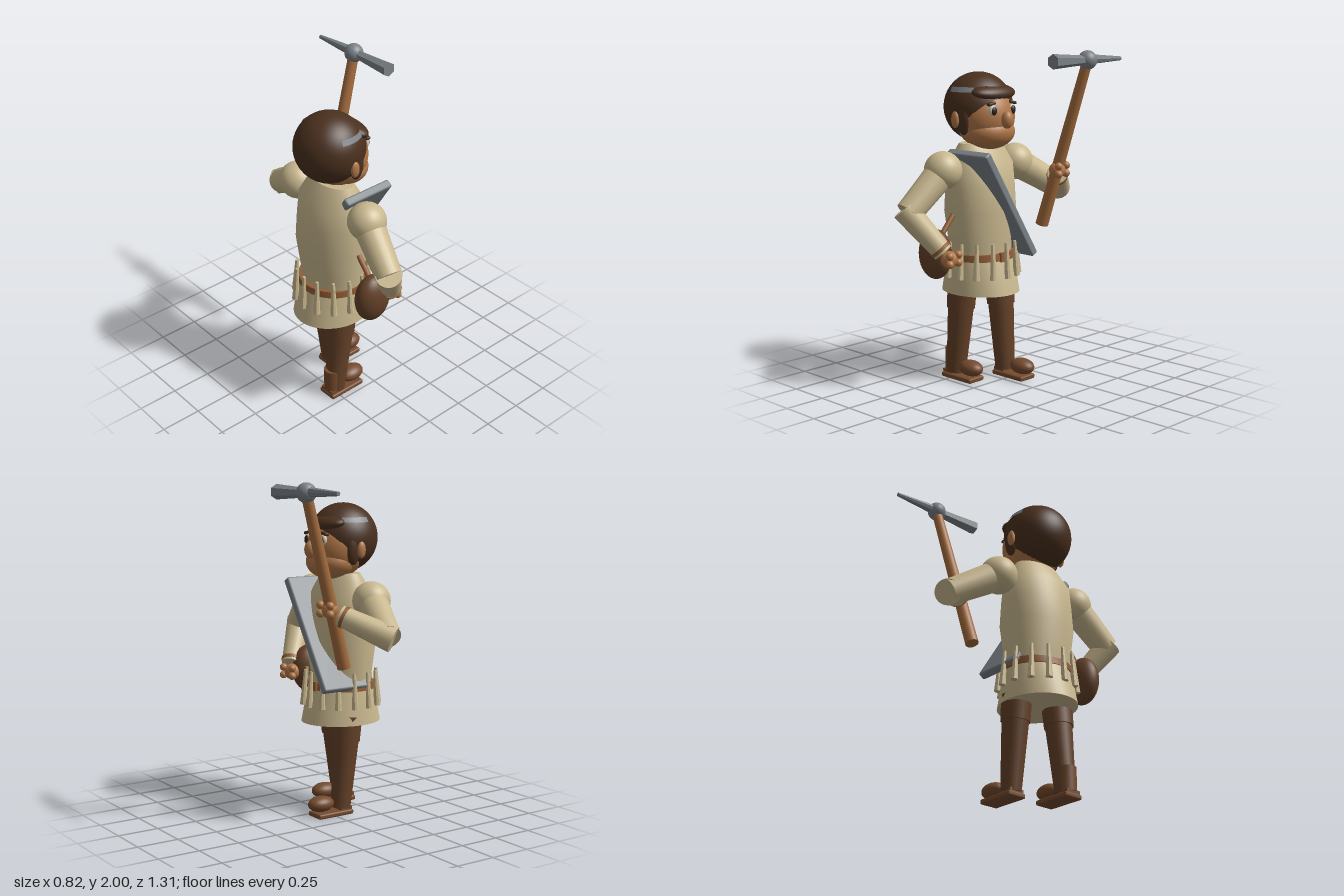
import * as THREE from 'three';
import { toCreasedNormals } from 'three/addons/utils/BufferGeometryUtils.js';
import { RoundedBoxGeometry } from 'three/addons/geometries/RoundedBoxGeometry.js';

const material = (name, color, extra = {}) => {
  const m = new THREE.MeshStandardMaterial({ color, ...extra });
  m.name = name;
  return m;
};
const V = (x, y, z) => new THREE.Vector3(x, y, z);

export function createModel() {
  const model = new THREE.Group();
  model.name = 'minerFigure';
  const cloth = material('tanCloth', 0xc9b88f);
  const hair = material('darkBrownHair', 0x4a301e, { side: THREE.DoubleSide });
  const skin = material('skin', 0xb07748);
  const trouser = material('brownTrousers', 0x644128);
  const leather = material('bootLeather', 0x744a2d);
  const strap = material('strapBrown', 0x925d36);
  const wood = material('handleWood', 0xa46c3e);
  const steel = material('steel', 0x7c8287, { side: THREE.DoubleSide });
  const black = material('pupilBlack', 0x2a2320);
  const white = material('eyeWhite', 0xc9c4b4);

  const add = (name, geometry, mat, x = 0, y = 0, z = 0) => {
    const mesh = new THREE.Mesh(geometry, mat);
    mesh.name = name;
    mesh.position.set(x, y, z);
    model.add(mesh);
    return mesh;
  };
  const ball = (name, mat, x, y, z, rx, ry = rx, rz = rx) => {
    const mesh = add(name, new THREE.SphereGeometry(1, 32, 20), mat, x, y, z);
    mesh.scale.set(rx, ry, rz);
    return mesh;
  };
  // tapered cylinder from a to b
  const limb = (name, mat, a, b, ra, rb, sides = 24) => {
    const d = b.clone().sub(a);
    const g = new THREE.CylinderGeometry(rb, ra, d.length(), sides);
    const mesh = add(name, sides < 10 ? toCreasedNormals(g, 0.4) : g, mat);
    mesh.position.copy(a).lerp(b, 0.5);
    mesh.quaternion.setFromUnitVectors(V(0, 1, 0), d.normalize());
    return mesh;
  };
  // closed oval loft through rows of [y, rx, rz]
  const loft = (name, mat, rows, x, z) => {
    const all = [[rows[0][0], 0, 0], ...rows, [rows.at(-1)[0], 0, 0]];
    const g = new THREE.LatheGeometry(all.map(([y, , rz]) => new THREE.Vector2(rz, y)), 40);
    const p = g.attributes.position;
    for (let i = 0; i < p.count; i++) {
      const [, rx, rz] = all[i % all.length];
      if (rz) p.setX(i, p.getX(i) * rx / rz);
    }
    g.computeVertexNormals();
    return add(name, toCreasedNormals(g, 0.7), mat, x, 0, z);
  };

  const cx = -0.153, cz = 0.035; // body axis

  // tunic
  loft('torso', cloth, [[0.75, 0.17, 0.2], [0.85, 0.175, 0.208], [1.05, 0.2, 0.235],
    [1.2, 0.184, 0.232], [1.33, 0.165, 0.225], [1.455, 0.09, 0.155]], cx, cz);
  loft('skirt', cloth, [[0.55, 0.25, 0.222], [0.655, 0.226, 0.212], [0.76, 0.195, 0.2]], cx, cz);
  loft('belt', strap, [[0.755, 0.203, 0.212], [0.797, 0.199, 0.212]], cx, cz);
  add('buckle', new THREE.BoxGeometry(0.02, 0.055, 0.07), strap, cx + 0.202, 0.778, cz);

  // ring of tapered tassels around the waist
  for (let i = 0; i < 14; i++) {
    const a = i / 14 * Math.PI * 2, c = Math.cos(a), s = Math.sin(a);
    limb('tassel', cloth, V(cx + c * 0.232, 0.65, cz + s * 0.23),
      V(cx + c * 0.218, 0.865, cz + s * 0.213), 0.021, 0.01, 8);
  }

  // slab worn across the chest
  const slab = add('chestSlab', new RoundedBoxGeometry(0.335, 0.76, 0.05, 2, 0.012), steel, -0.052, 1.093, cz);
  slab.rotation.x = 0.566;

  // head
  ball('face', skin, -0.115, 1.61, cz, 0.177, 0.19, 0.185);
  ball('jaw', skin, -0.075, 1.522, cz, 0.14, 0.105, 0.165);
  ball('nose', skin, 0.07, 1.6, cz, 0.036, 0.052, 0.037);
  const cap = add('hairCap', new THREE.SphereGeometry(0.208, 40, 28, 0, Math.PI * 2, 0, 2.15), hair, -0.167, 1.665, cz);
  cap.rotation.z = 0.868;
  ball('fringe', hair, -0.042, 1.757, cz, 0.083, 0.047, 0.165).rotation.z = -0.25;
  for (const s of [1, -1]) {
    ball('sideburn', hair, -0.118, 1.61, cz + s * 0.172, 0.047, 0.1, 0.03);
    ball('ear', skin, -0.155, 1.6, cz + s * 0.205, 0.028, 0.05, 0.018);
    ball('eyeWhite', white, 0.029, 1.656, cz + s * 0.079, 0.02, 0.033, 0.028);
    ball('pupil', black, 0.041, 1.654, cz + s * 0.079, 0.014, 0.026, 0.02);
    const brow = add('brow', new RoundedBoxGeometry(0.03, 0.018, 0.055, 2, 0.007), hair, 0.027, 1.696, cz + s * 0.088);
    brow.rotation.x = s * 0.2;
    add('headbandPiece', new THREE.CylinderGeometry(0.174, 0.189, 0.03, 12, 1, true,
      s > 0 ? -0.3 : Math.PI - 0.65, 0.95), steel, -0.167, 1.775, cz);
  }

  // arms: shoulder, elbow, wrist, hand
  const arms = [
    ['left', V(-0.155, 1.31, 0.34), V(-0.2, 1.08, 0.575), V(-0.055, 0.85, 0.44), V(-0.04, 0.805, 0.405)],
    ['right', V(-0.155, 1.31, -0.27), V(-0.055, 1.135, -0.56), V(0.125, 1.25, -0.35), V(0.165, 1.28, -0.305)],
  ];
  for (const [side, shoulder, elbow, wrist, hand] of arms) {
    ball(side + 'Shoulder', cloth, ...shoulder.toArray(), 0.113);
    limb(side + 'UpperArm', cloth, shoulder, elbow, 0.092, 0.078);
    const dir = wrist.clone().sub(elbow).normalize();
    limb(side + 'Forearm', cloth, elbow.clone().addScaledVector(dir, -0.035), wrist, 0.077, 0.06);
    limb(side + 'Cuff', strap, wrist.clone().addScaledVector(dir, -0.035),
      wrist.clone().addScaledVector(dir, -0.015), 0.066, 0.064);
    ball(side + 'Hand', skin, ...hand.toArray(), 0.05);
    for (let i = 0; i < 4; i++) {
      ball(side + 'Finger', skin, hand.x + 0.03 + (i % 2) * 0.012,
        hand.y + (i < 2 ? 0.028 : -0.02), hand.z + (i % 2 ? 0.035 : -0.045), 0.024);
    }
  }

  // round pouch with a peg in the left hand
  ball('pouch', trouser, -0.163, 0.82, 0.4, 0.115, 0.15, 0.083);
  limb('pouchPeg', strap, V(-0.15, 0.92, 0.37), V(-0.15, 1.04, 0.265), 0.016, 0.016, 12);

  // pickaxe
  limb('pickHandle', wood, V(0.055, 0.935, -0.29), V(0.355, 1.94, -0.35), 0.04, 0.031);
  ball('pickHub', steel, 0.355, 1.944, -0.35, 0.057);
  limb('pickBluntEnd', steel, V(0.355, 1.944, -0.35), V(0.355, 1.944, -0.045), 0.026, 0.044, 6);
  limb('pickPoint', steel, V(0.355, 1.948, -0.35), V(0.355, 1.944, -0.655), 0.031, 0.012, 8);

  // legs and boots: hip x, ankle x, z, heel x
  for (const [side, hx, ax, z, heel] of [['left', -0.185, -0.245, 0.158, -0.315], ['right', -0.115, -0.065, -0.09, -0.12]]) {
    const hip = V(hx, 0.6, z), ankle = V(ax, 0.04, z);
    limb(side + 'Leg', trouser, ankle, hip, 0.06, 0.086);
    limb(side + 'ThighCuff', trouser, hip.clone().lerp(ankle, 0.27), hip, 0.086, 0.09);
    if (side === 'left') limb('leftBootShaft', leather, V(-0.262, 0.045, z), V(-0.262, 0.19, z), 0.054, 0.054);
    ball(side + 'Toe', leather, heel + 0.2, 0.08, z, 0.085, 0.048, 0.061);
    add(side + 'Sole', new RoundedBoxGeometry(0.25, 0.03, 0.125, 2, 0.01), leather, heel + 0.125, 0.015, z);
    add(side + 'Heel', new THREE.BoxGeometry(0.08, 0.025, 0.1), leather, heel + 0.045, 0.037, z);
  }
  return model;
}
